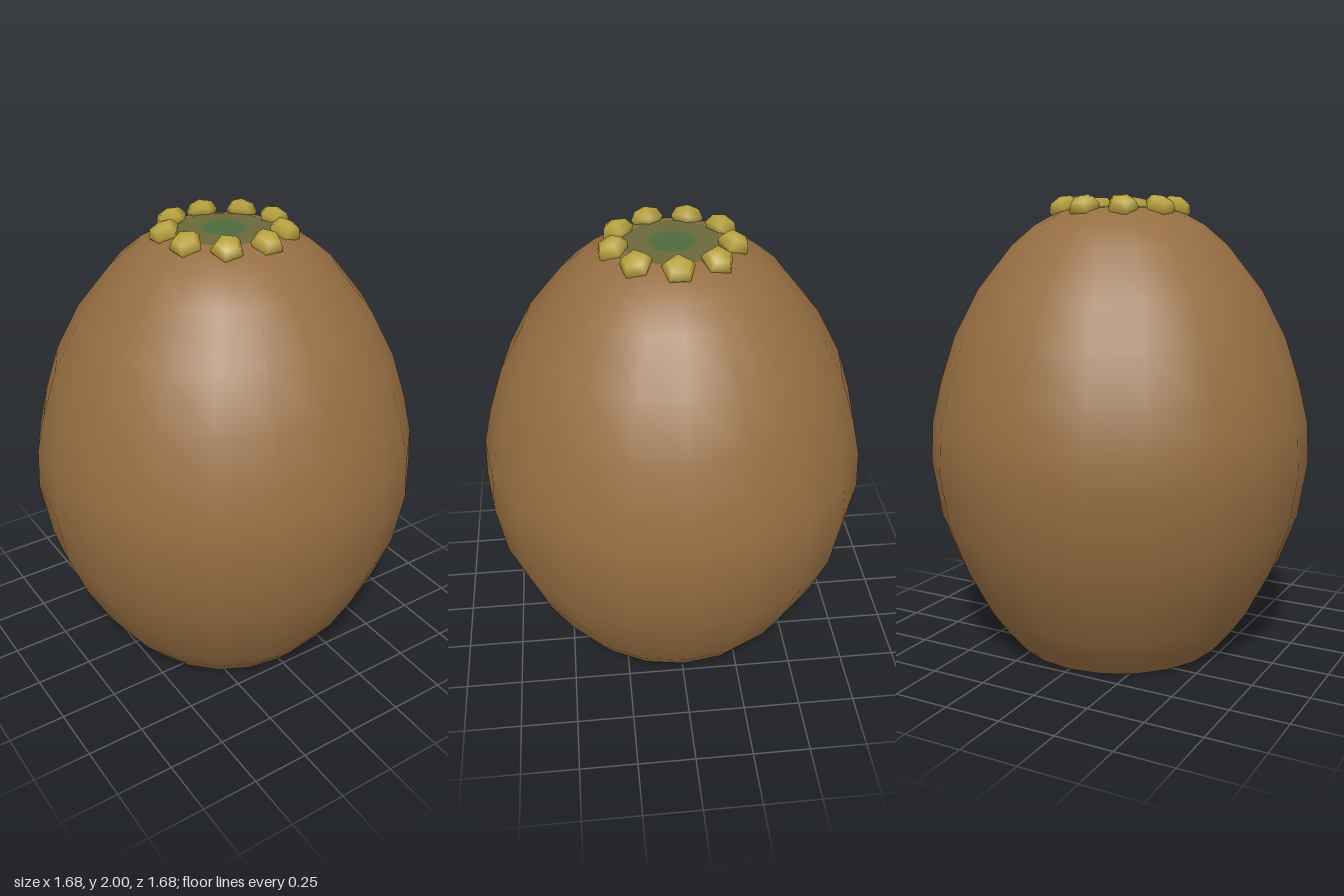
import * as THREE from 'three';

const RIBS = 20;
const mat = (name, color, side = THREE.FrontSide) => {
  const m = new THREE.MeshStandardMaterial({ color, side });
  m.name = name;
  return m;
};

// Egg silhouette, [radius, height] from the open base to the crown
const PROFILE = [
  [0.465, 0], [0.55, 0.1], [0.62, 0.2], [0.725, 0.4], [0.8, 0.6], [0.84, 0.85],
  [0.83, 1.03], [0.79, 1.2], [0.725, 1.4], [0.62, 1.6], [0.47, 1.79],
  [0.37, 1.875], [0.27, 1.93], [0.2, 1.948],
];

// Pleated inner wall: strips from column offset a to b inside every rib
function pleats(from, to) {
  const depth = [0.995, 0.925, 0.855, 0.925, 0.995]; // tip, flank, valley, flank, tip
  const rows = PROFILE.slice(0, -2);
  const pos = [], index = [];
  for (let rib = 0; rib < RIBS; rib++) {
    for (let c = from; c < to; c++) {
      const base = pos.length / 3;
      for (const [r, y] of rows) {
        for (const k of [c, c + 1]) {
          const a = ((rib + k / 4) / RIBS) * Math.PI * 2;
          const d = r * depth[(k + 4) % 4];
          pos.push(d * Math.sin(a), y, d * Math.cos(a));
        }
      }
      for (let i = 0; i < rows.length - 1; i++) {
        const p = base + i * 2;
        index.push(p, p + 1, p + 3, p, p + 3, p + 2);
      }
    }
  }
  const g = new THREE.BufferGeometry();
  g.setAttribute('position', new THREE.Float32BufferAttribute(pos, 3));
  g.setIndex(index);
  g.computeVertexNormals();
  return g;
}

export function createModel() {
  const brown = mat('brown', 0x966e42, THREE.DoubleSide);
  const green = mat('green', 0x4f6b3d, THREE.DoubleSide);
  const olive = mat('olive', 0x6b683a);
  const yellow = mat('yellow', 0xb8a23f);

  const model = new THREE.Group();
  const add = (name, geometry, material, parent = model) => {
    const mesh = new THREE.Mesh(geometry, material);
    mesh.name = name;
    parent.add(mesh);
    return mesh;
  };
  const lathe = (pts) => new THREE.LatheGeometry(pts.map(([x, y]) => new THREE.Vector2(x, y)), RIBS);

  // Outer shell, open underneath
  add('shell', lathe(PROFILE), brown);

  // Crown: olive ring around a green centre
  add('crownRing', lathe([[0.2, 1.948], [0.095, 1.952]]), olive);
  add('crownCentre', lathe([[0.095, 1.952], [0, 1.953]]), green);

  // Striped pleats inside the shell
  add('pleatTips', pleats(-1, 1), brown);
  add('pleatValleys', pleats(1, 3), green);

  // Ring of nine buds leaning outwards
  const buds = new THREE.Group();
  buds.name = 'buds';
  model.add(buds);
  const budShape = new THREE.SphereGeometry(0.07, 5, 4);
  budShape.scale(1, 0.68, 1);
  for (let i = 0; i < 9; i++) {
    const pivot = new THREE.Group();
    pivot.name = 'budPivot';
    pivot.rotation.y = (i / 9) * Math.PI * 2;
    buds.add(pivot);
    const bud = add('bud', budShape, yellow, pivot);
    bud.position.set(0.245, 1.95, 0);
    bud.rotation.set(0, i * 0.7, -0.4, 'ZYX');
  }
  return model;
}
